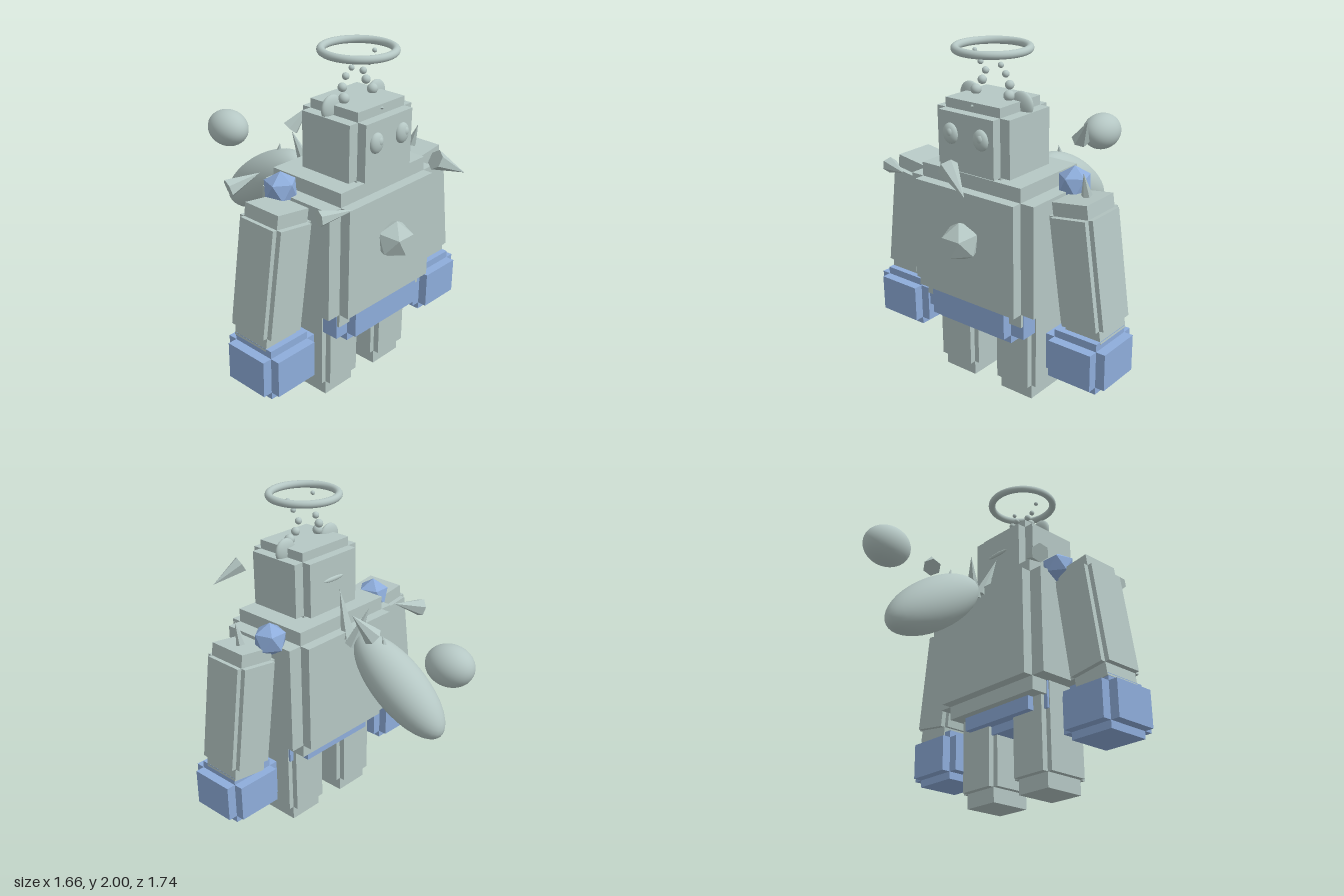
import * as THREE from 'three';

export function createModel() {
  const model = new THREE.Group();
  model.name = 'robot';
  const grey = new THREE.MeshStandardMaterial({ color: 0xb5c7c4 });
  grey.name = 'pale grey';
  const blue = new THREE.MeshStandardMaterial({ color: 0x8eaddb });
  blue.name = 'soft blue';

  function add(name, geometry, material, x, y, z) {
    const mesh = new THREE.Mesh(geometry, material);
    mesh.name = name;
    mesh.position.set(x, y, z);
    model.add(mesh);
    return mesh;
  }

  // Notched block: three crossing boxes, each full size on one axis only
  function block(name, material, center, size, ratio) {
    const group = new THREE.Group();
    group.name = name;
    group.position.set(...center);
    for (let axis = 0; axis < 3; axis++) {
      const s = size.map((v, i) => (i === axis ? v : v * ratio));
      const mesh = new THREE.Mesh(new THREE.BoxGeometry(...s), material);
      mesh.name = name + 'Block';
      group.add(mesh);
    }
    model.add(group);
    return group;
  }

  function ellipsoid(name, center, radii, material = grey) {
    const geo = new THREE.SphereGeometry(1, 32, 20).scale(...radii);
    return add(name, geo, material, ...center);
  }

  // Faceted cone from the middle of its base to its tip
  function spike(name, base, tip, radius) {
    const a = new THREE.Vector3(...base);
    const b = new THREE.Vector3(...tip);
    const dir = b.clone().sub(a);
    const geo = new THREE.ConeGeometry(radius, dir.length(), 6).toNonIndexed();
    geo.computeVertexNormals();
    const mid = a.add(b).multiplyScalar(0.5);
    const mesh = add(name, geo, grey, mid.x, mid.y, mid.z);
    mesh.quaternion.setFromUnitVectors(new THREE.Vector3(0, 1, 0), dir.normalize());
  }

  // Body, belt and head
  block('torso', grey, [0, 0.925, 0.288], [0.865, 0.81, 0.625], 0.8);
  block('belt', blue, [0, 0.59, 0.335], [0.7, 0.4, 0.5], 0.75);
  block('head', grey, [0, 1.505, 0.335], [0.5, 0.43, 0.45], 0.75);

  // Limbs, ears, eyes, shoulder studs and bead feelers, mirrored
  const beads = [
    [0.115, 1.74, 0.34, 0.03], [0.095, 1.79, 0.31, 0.025], [0.07, 1.845, 0.31, 0.02],
    [0.07, 1.9, 0.35, 0.016], [0.1, 1.96, 0.36, 0.013],
  ];
  for (const [side, s] of [['left', 1], ['right', -1]]) {
    const arm = block(side + 'Arm', grey, [0.612 * s, 0.875, 0.283], [0.277, 0.77, 0.305], 0.8);
    arm.rotation.z = s * THREE.MathUtils.degToRad(8);
    block(side + 'Hand', blue, [0.637 * s, 0.372, 0.305], [0.385, 0.305, 0.385], 0.71);
    block(side + 'Leg', grey, [0.213 * s, 0.4, 0.29], [0.285, 0.8, 0.33], 0.78);
    const stud = new THREE.IcosahedronGeometry(0.1).rotateX(-1.0172);
    add(side + 'ShoulderStud', stud, blue, 0.437 * s, 1.28, 0.185);
    ellipsoid(side + 'Ear', [0.18 * s, 1.697, 0.31], [0.072, 0.073, 0.028]);
    ellipsoid(side + 'Eye', [0.105 * s, 1.547, 0.56], [0.05, 0.058, 0.03]);
    ellipsoid(side + 'Pupil', [0.105 * s + 0.008, 1.557, 0.575], [0.023, 0.027, 0.018]);
    for (const [x, y, z, r] of beads) ellipsoid(side + 'FeelerBead', [x * s, y, z], [r, r, r]);
  }

  // Face stud, back slit, halo and chest stud
  add('foreheadStud', new THREE.OctahedronGeometry(0.02), grey, 0, 1.7, 0.495);
  ellipsoid('backSlit', [0, 1.53, 0.11], [0.08, 0.014, 0.01]);
  add('halo', new THREE.TorusGeometry(0.198, 0.022, 16, 64).rotateX(Math.PI / 2), grey, 0, 1.98, 0.333);
  const chest = new THREE.IcosahedronGeometry(0.116).rotateY(-0.365).rotateZ(-Math.PI / 2);
  add('chestStud', chest, grey, 0, 0.97, 0.615);

  // Tail sections behind the body
  const tail = ellipsoid('tailBody', [0, 1.02, -0.39], [0.152, 0.152, 0.37]);
  tail.rotation.x = THREE.MathUtils.degToRad(-35);
  ellipsoid('tailBall', [0, 1.265, -0.73], [0.115, 0.115, 0.143]);

  // Spikes
  spike('frontSpike', [0.09, 1.465, 0.8], [0.26, 1.36, 0.87], 0.055);
  spike('rightFrontSpike', [-0.56, 1.28, 0.585], [-0.38, 1.29, 0.655], 0.045);
  spike('rightBackSpike', [-0.56, 1.23, -0.095], [-0.385, 1.29, -0.03], 0.055);
  spike('armSpike', [0.575, 1.27, 0.27], [0.58, 1.4, 0.31], 0.03);
  spike('upperBackSpike', [0.015, 1.2, -0.02], [-0.02, 1.47, 0.08], 0.045);
  spike('tailRootSpike', [0.03, 1.18, -0.065], [-0.03, 1.41, -0.135], 0.05);
  spike('tailSideSpike', [0.13, 1.34, -0.305], [0.225, 1.48, -0.235], 0.055);
  spike('tailSmallSpike', [0, 1.22, -0.28], [0, 1.29, -0.265], 0.022);

  return model;
}
